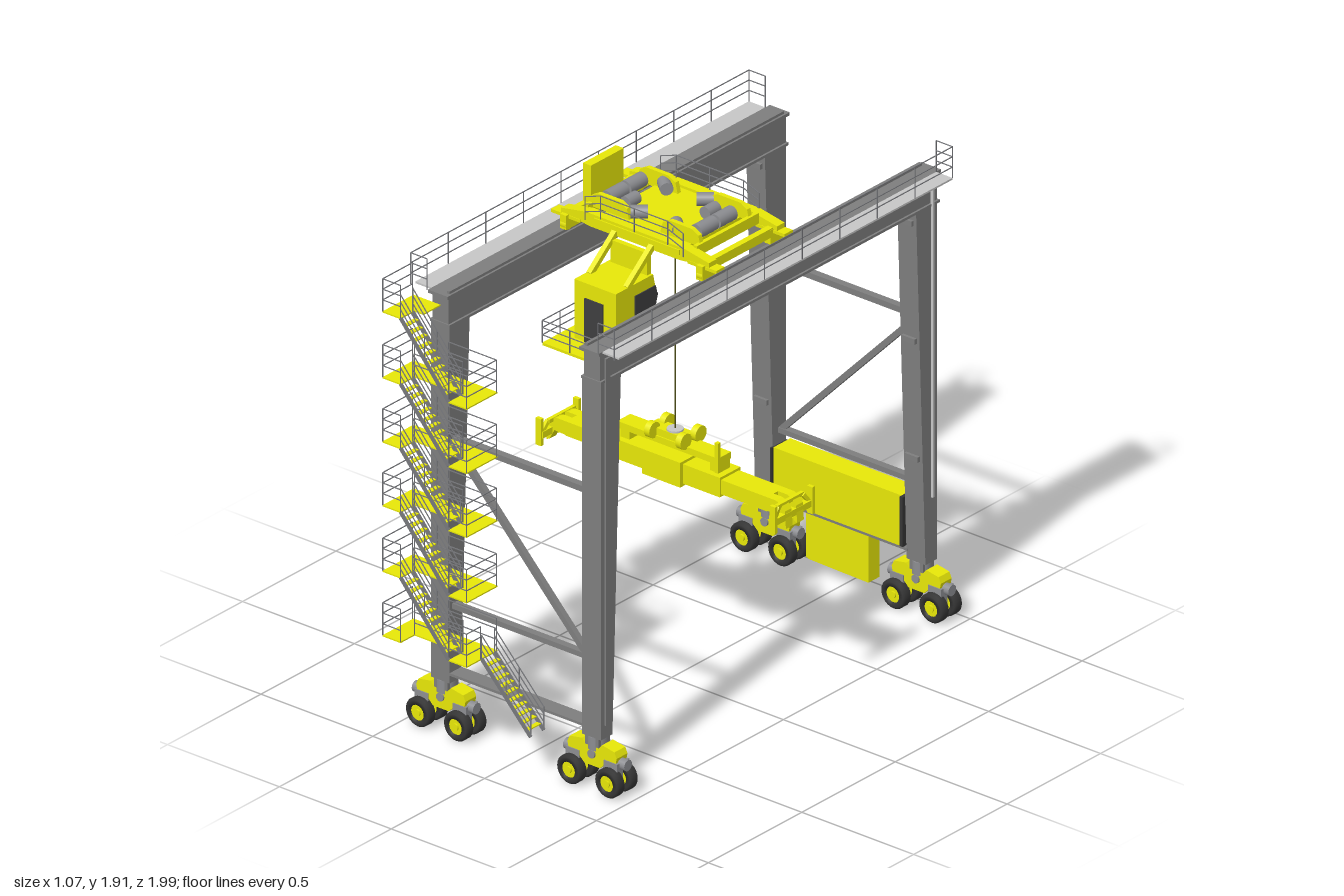
import * as THREE from 'three';
import { mergeGeometries } from 'three/addons/utils/BufferGeometryUtils.js';

const mat = (name, color) => Object.assign(new THREE.MeshStandardMaterial({ color }), { name });
const V = (x, y, z) => new THREE.Vector3(x, y, z);

// Box from its limits
function boxG(x0, x1, y0, y1, z0, z1) {
  return new THREE.BoxGeometry(x1 - x0, y1 - y0, z1 - z0).translate((x0 + x1) / 2, (y0 + y1) / 2, (z0 + z1) / 2);
}
// Square bar between two points; d is the depth across the bar
function barG(a, b, w, d = w) {
  const g = new THREE.BoxGeometry(w, d, a.distanceTo(b));
  const m = new THREE.Matrix4().lookAt(b, a, Math.abs(b.y - a.y) > 0.99 * a.distanceTo(b) ? V(0, 0, 1) : V(0, 1, 0));
  return g.applyMatrix4(m).translate((a.x + b.x) / 2, (a.y + b.y) / 2, (a.z + b.z) / 2);
}
// Cylinder between two points
function cylG(a, b, r, sides = 16) {
  const dir = b.clone().sub(a);
  const q = new THREE.Quaternion().setFromUnitVectors(V(0, 1, 0), dir.clone().normalize());
  const m = a.clone().add(b).multiplyScalar(0.5);
  return new THREE.CylinderGeometry(r, r, dir.length(), sides).applyQuaternion(q).translate(m.x, m.y, m.z);
}
// Outline in x,y extruded between z0 and z1
function plateG(points, z0, z1) {
  const s = new THREE.Shape(points.map(p => new THREE.Vector2(...p)));
  return new THREE.ExtrudeGeometry(s, { depth: z1 - z0, bevelEnabled: false }).translate(0, 0, z0);
}
// Outline in z,y extruded between x0 and x1
const sideG = (points, x0, x1) => plateG(points.map(([z, y]) => [-z, y]), x0, x1).rotateY(Math.PI / 2);

export function createModel() {
  const model = new THREE.Group();
  const yellow = mat('safetyYellow', 0xe8e808), grey = mat('steelGrey', 0x7e7e7e), motorGrey = mat('motorGrey', 0x8c8d91);
  const deckGrey = mat('walkwayGrey', 0xc6c6c6), railGrey = mat('railGrey', 0x77787c);
  const black = mat('tyreBlack', 0x353535), glass = mat('darkGlass', 0x3e3e40), ropeMat = mat('ropeOlive', 0x55551a);

  const add = (name, material, geos) => {
    const list = [].concat(geos).map(g => (g.index ? g.toNonIndexed() : g));
    const m = new THREE.Mesh(list.length > 1 ? mergeGeometries(list) : list[0], material);
    m.name = name;
    model.add(m);
  };
  // Handrail with posts along a path
  const rail = (pts, h, spacing = 0.1, t = 0.003) => {
    const out = [];
    for (let i = 0; i + 1 < pts.length; i++) {
      const [a, b] = [pts[i], pts[i + 1]];
      for (const f of [0.35, 0.68, 1]) out.push(barG(a.clone().setY(a.y + h * f), b.clone().setY(b.y + h * f), t));
      const n = Math.max(1, Math.round(a.distanceTo(b) / spacing));
      for (let k = 0; k <= n; k++) {
        const p = a.clone().lerp(b, k / n);
        out.push(barG(p, p.clone().setY(p.y + h), t));
      }
    }
    return out;
  };

  const legX = [-0.343, 0.333];
  const ends = [{ s: 1, zc: 0.795, out: 0.827, top: 0.72, bot: 0.765 }, { s: -1, zc: -0.94, out: -0.973, top: -0.86, bot: -0.91 }];

  // Main girders, walkways and their railings
  for (const x of legX) {
    const o = Math.sign(x);
    add('girder', grey, [boxG(x - 0.036, x + 0.036, 1.57, 1.68, -0.98, 0.825), boxG(x - 0.044, x + 0.044, 1.68, 1.692, -0.99, 0.84),
      boxG(x - 0.044, x + 0.044, 1.568, 1.578, -0.985, 0.83)]);
    add('trolleyRail', grey, boxG(x - 0.006 - o * 0.03, x + 0.006 - o * 0.03, 1.692, 1.702, -0.97, 0.82));
    const xa = x + o * 0.044, xb = x + o * 0.117;
    add('walkway', deckGrey, boxG(Math.min(xa, xb), Math.max(xa, xb), 1.685, 1.692, -0.965, 0.82));
    add('walkwayRailing', railGrey, rail([V(xa, 1.692, 0.845), V(xb, 1.692, 0.845), V(xb, 1.692, -0.965), V(xa, 1.692, -0.965)], 0.12, 0.2));
  }
  // Supply cable along the left girder and down the back leg
  add('supplyCable', deckGrey, [barG(V(0.378, 1.668, 0.2), V(0.378, 1.668, -0.925), 0.01), barG(V(0.378, 1.668, -0.925), V(0.378, 1.645, -0.945), 0.01),
    barG(V(0.378, 1.645, -0.945), V(0.378, 0.45, -0.945), 0.01)]);
  add('legConduit', grey, boxG(0.374, 0.382, 0.25, 1.66, 0.783, 0.807));
  add('legCabinet', black, sideG([[0.74, 1.0], [0.7215, 1.56], [0.7155, 1.56], [0.734, 1.0]], 0.3, 0.368));

  for (const { s, zc, out, top, bot } of ends) {
    for (const x of legX) {
      // Tapered leg with bolted flanges and foot
      add('leg', grey, [sideG([[out, 1.575], [top, 1.575], [bot, 0.2], [out, 0.2]], x - 0.042, x + 0.042),
        boxG(x - 0.03, x + 0.03, 0.165, 0.2, zc - 0.03, zc + 0.03)]);
      add('legFlange', grey, [0.61, 1.07, 1.53].map(y => {
        const inner = bot + (top - bot) * (y - 0.2) / 1.37;
        return boxG(x - 0.03, x + 0.03, y - 0.01, y + 0.01, Math.min(inner - s * 0.012, inner), Math.max(inner - s * 0.012, inner));
      }));

      // Bogie
      add('bogieFrame', yellow, plateG([[-0.105, 0.125], [-0.11, 0.15], [-0.1, 0.172], [-0.045, 0.182], [-0.03, 0.165], [0.03, 0.165], [0.045, 0.182],
        [0.1, 0.172], [0.11, 0.15], [0.105, 0.125], [0.06, 0.115], [0.035, 0.09], [-0.035, 0.09], [-0.06, 0.115]].map(([a, b]) => [a + x, b]), zc - 0.029, zc + 0.029));
      add('bogiePivot', motorGrey, [cylG(V(x, 0.135, zc - 0.036), V(x, 0.135, zc + 0.036), 0.016), cylG(V(x, 0.15, zc), V(x, 0.2, zc), 0.035)]);
      for (const d of [-0.085, 0.085]) {
        const e = Math.sign(d);
        add('driveMotor', motorGrey, [boxG(x + d - 0.018, x + d + 0.018, 0.05, 0.125, zc - 0.014, zc + 0.014),
          cylG(V(x + e * 0.085, 0.122, zc), V(x + e * 0.137, 0.122, zc), 0.021),
          boxG(x + d - 0.03, x + d + 0.03, 0.1, 0.13, zc - 0.033, zc + 0.033)]);
        for (const w of [-0.035, 0.035]) {
          const z = zc + w, f = Math.sign(w);
          const profile = [[0.03, -0.02], [0.047, -0.02], [0.055, -0.013], [0.055, 0.013], [0.047, 0.02], [0.03, 0.02], [0.03, -0.02]];
          add('tyre', black, new THREE.LatheGeometry(profile.map(p => new THREE.Vector2(...p)), 24).rotateX(Math.PI / 2).translate(x + d, 0.055, z));
          add('wheelHub', yellow, [cylG(V(x + d, 0.055, z - 0.015), V(x + d, 0.055, z + 0.015), 0.0305, 20),
            cylG(V(x + d, 0.055, z), V(x + d, 0.055, z + f * 0.021), 0.013, 10)]);
        }
      }
    }
    // Bracing between the legs
    const zb = zc + s * 0.005;
    add('crossBrace', grey, [boxG(-0.305, 0.295, 1.12, 1.143, zb - 0.014, zb + 0.014), boxG(-0.305, 0.295, 0.483, 0.503, zb - 0.014, zb + 0.014),
      barG(V(-s * 0.3, 1.11, zb), V(s * 0.29, 0.5, zb), 0.022)]);
    add('sillPlate', grey, boxG(-0.305, 0.295, 0.23, 0.24, zc - 0.032, zc + 0.032));
  }

  // Equipment house and tank at the back sill
  add('equipmentHouse', yellow, boxG(-0.296, 0.276, 0.245, 0.44, -0.99, -0.9));
  add('houseEnd', black, [boxG(-0.304, -0.296, 0.25, 0.44, -0.975, -0.89), boxG(0.276, 0.29, 0.25, 0.44, -0.975, -0.89)]);
  add('fuelTank', yellow, plateG([[-0.16, 0.06], [-0.145, 0.055], [0.12, 0.05], [0.12, 0.235], [-0.16, 0.235]], -0.97, -0.91));

  // Trolley frame: deck, cross beams and end carriages
  add('trolleyDeck', yellow, boxG(-0.18, 0.2, 1.765, 1.785, -0.21, 0.2));
  for (const z of [-0.19, 0.175]) {
    add('trolleyCrossBeam', yellow, plateG([[-0.33, 1.75], [-0.24, 1.75], [-0.2, 1.745], [0.2, 1.745], [0.24, 1.75], [0.33, 1.75], [0.33, 1.775], [0.22, 1.795],
      [-0.22, 1.795], [-0.33, 1.775]], z - 0.02, z + 0.02));
    for (const x of [-0.31, 0.3]) add('trolleyCarriage', yellow, [boxG(x - 0.014, x + 0.014, 1.705, 1.76, z - 0.035, z + 0.035),
      boxG(x - 0.065, x + 0.065, 1.745, 1.757, z - 0.022, z + 0.022)]);
  }
  for (const x of [-0.31, 0.3]) {
    add('carriageBeam', yellow, [boxG(x - 0.012, x + 0.012, 1.73, 1.765, -0.19, 0.18), boxG(x * 0.8 - 0.008, x * 0.8 + 0.008, 1.76, 1.8, -0.17, 0.16)]);
    add('trolleyWheel', yellow, [-0.2, 0.19].map(z => cylG(V(x - 0.012, 1.722, z), V(x + 0.012, 1.722, z), 0.022)));
  }
  // Hoist drums, arched housings and motors
  for (const x of [-0.21, 0.19]) {
    add('hoistDrum', motorGrey, [-0.05, 0.05].map(z => cylG(V(x, 1.812, z - 0.045), V(x, 1.812, z + 0.045), 0.027, 20)));
    for (const z of [-0.135, 0.125]) {
      const c = x * 0.8;
      add('hoistHousing', yellow, plateG([[c - 0.09, 1.785], [c + 0.09, 1.785], [c + 0.08, 1.825], [c + 0.05, 1.842], [c - 0.05, 1.842], [c - 0.08, 1.825]], z - 0.009, z + 0.009));
    }
  }
  add('ropeMotor', motorGrey, [[-0.12, -0.11, 0.7], [0.05, -0.12, -0.7], [0.12, -0.065, 1.57], [-0.14, 0.05, 1.57], [-0.06, 0.1, -0.7], [0.11, 0.1, 0.7]].map(([x, z, a]) =>
    cylG(V(x - 0.03 * Math.cos(a), 1.81, z - 0.03 * Math.sin(a)), V(x + 0.03 * Math.cos(a), 1.81, z + 0.03 * Math.sin(a)), 0.024, 14)));
  add('controlCabinet', yellow, boxG(-0.32, -0.285, 1.765, 1.91, -0.085, 0.09));
  add('trolleyRailing', railGrey, [-0.205, 0.2].flatMap(z => rail([V(-0.22, 1.765, z), V(-0.15, 1.79, z), V(0.15, 1.79, z), V(0.22, 1.765, z)], 0.09, 0.15)));

  // Operator cab, hangers and access platform
  add('cabBody', yellow, sideG([[0.4, 1.43], [0.4, 1.655], [0.2, 1.655], [0.18, 1.57], [0.22, 1.43]], -0.1, 0.085));
  add('cabDoor', glass, boxG(-0.052, 0.03, 1.43, 1.598, 0.398, 0.405));
  for (const x of [-0.104, 0.085]) add('cabSideWindow', glass, sideG([[0.3, 1.435], [0.3, 1.61], [0.19, 1.61], [0.18, 1.57], [0.22, 1.435]], x, x + 0.004));
  add('cabFrontWindow', glass, [barG(V(-0.0075, 1.43, 0.217), V(-0.0075, 1.575, 0.176), 0.183, 0.008), boxG(-0.098, 0.083, 1.424, 1.431, 0.22, 0.395)]);
  add('cabHanger', yellow, [boxG(-0.09, 0.075, 1.655, 1.74, 0.2, 0.22), ...[-0.09, 0.075].map(x => barG(V(x, 1.65, 0.33), V(x, 1.77, 0.18), 0.02))]);
  add('cabPlatform', yellow, [boxG(-0.16, 0.085, 1.42, 1.43, 0.4, 0.5), boxG(-0.16, -0.1, 1.42, 1.43, 0.31, 0.4)]);
  add('cabRailing', railGrey, rail([V(-0.16, 1.43, 0.31), V(-0.16, 1.43, 0.5), V(0.085, 1.43, 0.5), V(0.085, 1.43, 0.4)], 0.085));

  // Hoist rope and spreader
  const zs = -0.02;
  add('hoistRope', ropeMat, cylG(V(0, 0.94, zs), V(0, 1.77, zs), 0.002, 6));
  add('spreaderBody', yellow, [boxG(-0.3, 0.245, 0.785, 0.86, zs - 0.055, zs + 0.055), boxG(-0.09, 0.08, 0.775, 0.87, zs - 0.07, zs + 0.07)]);
  add('spreaderHead', yellow, [boxG(-0.23, 0.22, 0.893, 0.918, zs - 0.035, zs + 0.035), boxG(-0.1, 0.06, 0.918, 0.945, zs - 0.03, zs + 0.03),
    ...[-0.2, 0.2].map(x => boxG(x - 0.02, x + 0.02, 0.85, 0.895, zs - 0.03, zs + 0.03)), boxG(0.205, 0.22, 0.86, 0.975, zs + 0.02, zs + 0.035)]);
  add('headSheave', yellow, [-1, 1].flatMap(s => [-0.07, 0.07].map(x => cylG(V(x - 0.012, 0.94, zs + s * 0.04), V(x + 0.012, 0.94, zs + s * 0.04), 0.03))));
  add('headPlate', deckGrey, cylG(V(0, 0.943, zs), V(0, 0.952, zs), 0.03));
  for (const s of [-1, 1]) {
    add('spreaderArm', yellow, boxG(Math.min(s * 0.2, s * 0.45), Math.max(s * 0.2, s * 0.45), 0.795, 0.85, zs - 0.048, zs + 0.048));
    const tip = [[0.44, 0.797], [0.5, 0.8], [0.522, 0.76], [0.535, 0.755], [0.53, 0.82], [0.515, 0.84], [0.49, 0.85], [0.44, 0.85]].map(([x, y]) => [s * x, y]);
    add('spreaderTip', yellow, [-0.03, 0.03].map(d => plateG(tip, zs + d - 0.018, zs + d + 0.018)));
    add('spreaderEndBeam', yellow, [boxG(s * 0.52 - 0.012, s * 0.52 + 0.012, 0.785, 0.81, zs - 0.1, zs + 0.1),
      ...[-0.1, 0.1].map(d => boxG(s * 0.523 - 0.012, s * 0.523 + 0.012, 0.757, 0.86, zs + d - 0.007, zs + d + 0.007)),
      ...[-1, 1].map(d => barG(V(s * 0.515, 0.84, zs + d * 0.065), V(s * 0.52, 0.8, zs + d * 0.095), 0.014)),
      boxG(s * 0.51 - 0.007, s * 0.51 + 0.007, 0.833, 0.847, zs - 0.07, zs + 0.07)]);
  }

  // Stair tower: landings, flights and handrails
  const flight = (x0, y0, x1, y1, z0, z1) => {
    const steps = [], n = 11;
    for (let i = 1; i < n; i++) {
      const x = x0 + (x1 - x0) * i / n, y = y0 + (y1 - y0) * i / n;
      steps.push(boxG(x - 0.009, x + 0.009, y - 0.002, y + 0.002, z0, z1));
    }
    add('stairTreads', yellow, steps);
    add('stairStringers', railGrey, [z0, z1].map(z => barG(V(x0, y0, z), V(x1, y1, z), 0.004, 0.016)));
    add('stairHandrail', railGrey, [z0, z1].flatMap(z => rail([V(x0, y0, z), V(x1, y1, z)], 0.09, 0.15)));
  };
  const levels = [1.645, 1.392, 1.145, 0.9, 0.648, 0.4];
  levels.forEach((y, i) => {
    const first = i === 0, last = i === levels.length - 1, xr = first ? -0.34 : -0.085;
    const floor = [boxG(-0.46, xr, y - 0.005, y, 0.83, 0.92), boxG(-0.46, -0.38, y - 0.005, y, 0.92, 0.995)];
    if (!first) floor.push(boxG(-0.165, -0.085, y - 0.005, y, 0.92, 0.995));
    add('stairLanding', yellow, floor);
    const r = rail([V(-0.46, y, 0.835), V(-0.46, y, 0.995), V(-0.38, y, 0.995)], 0.125, 0.16);
    if (!first) r.push(...rail([V(-0.165, y, 0.995), V(-0.085, y, 0.995), V(-0.085, y, last ? 0.92 : 0.835)], 0.125, 0.16),
      ...rail([V(-0.38, y, 0.92), V(-0.165, y, 0.92)], 0.125, 0.2), ...rail([V(-0.3, y, 0.835), V(-0.085, y, 0.835)], 0.125, 0.2));
    add('landingRailing', railGrey, r);
    if (!last) flight(-0.38, y, -0.165, levels[i + 1], 0.93, 0.995);
  });
  flight(-0.085, 0.4, 0.135, 0.17, 0.845, 0.915);

  return model;
}
